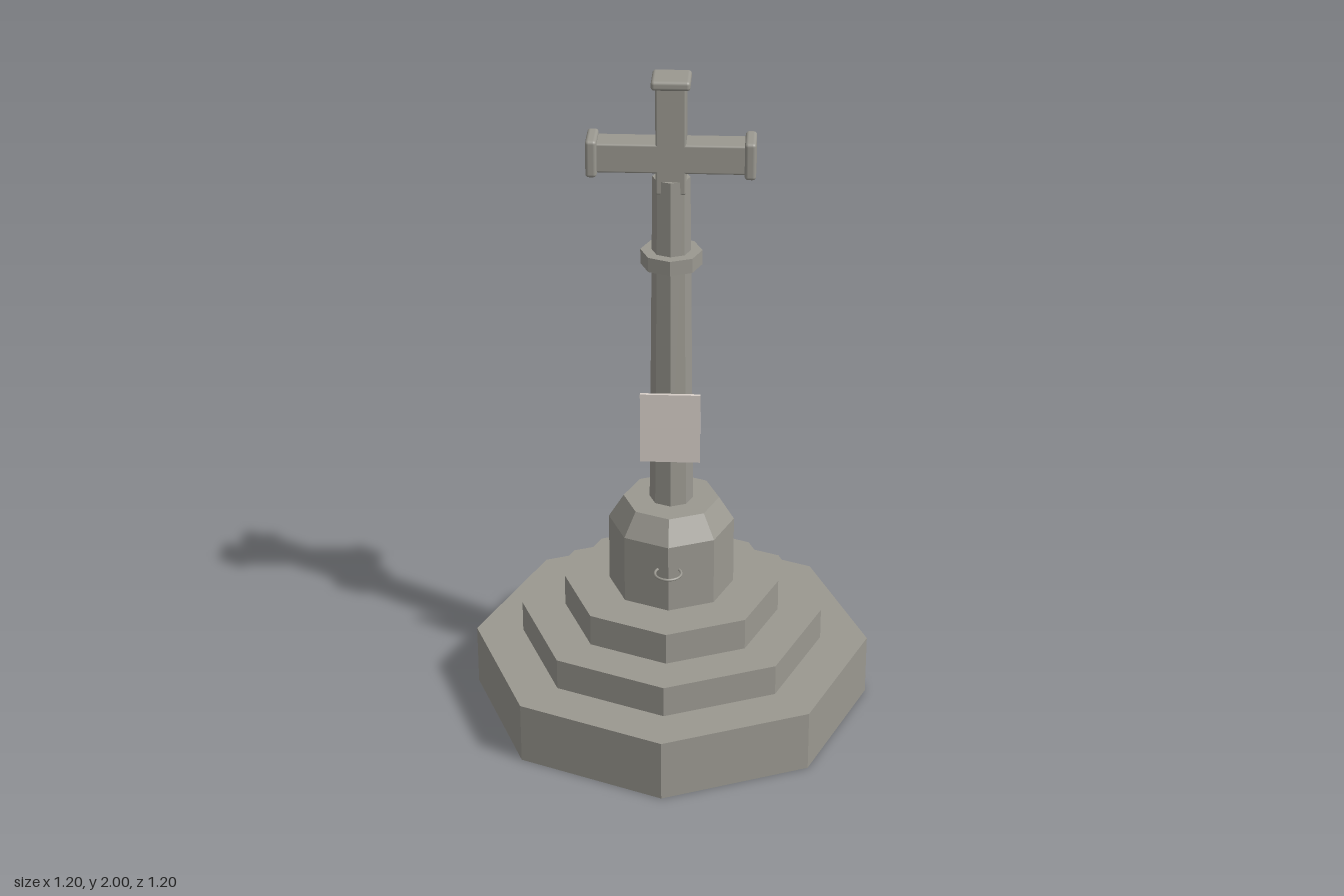
import * as THREE from 'three';
import { RoundedBoxGeometry } from 'three/addons/geometries/RoundedBoxGeometry.js';

export function createModel() {
  const root = new THREE.Group();
  const stone = new THREE.MeshStandardMaterial({ color: 0x9a9890, flatShading: true });
  const smoothStone = new THREE.MeshStandardMaterial({ color: 0x9a9890 });
  const pale = new THREE.MeshStandardMaterial({ color: 0xd6cec8 });

  function add(name, geometry, material, x, y, z, parent = root) {
    const mesh = new THREE.Mesh(geometry, material);
    mesh.name = name;
    mesh.position.set(x, y, z);
    parent.add(mesh);
    return mesh;
  }

  // Octagonal block with corners on the x and z axes
  function octagon(name, y0, y1, rBottom, rTop = rBottom) {
    const geometry = new THREE.CylinderGeometry(rTop, rBottom, y1 - y0, 8);
    return add(name, geometry, stone, 0, (y0 + y1) / 2, 0);
  }

  // Stepped base
  octagon('lowerStep', 0, 0.19, 0.6);
  octagon('middleStep', 0.19, 0.287, 0.457);
  octagon('upperStep', 0.287, 0.386, 0.325);

  // Pedestal with chamfered shoulder
  octagon('pedestal', 0.386, 0.6, 0.188);
  octagon('pedestalShoulder', 0.6, 0.672, 0.188, 0.143);

  // Tapered shaft and its collar
  octagon('shaft', 0.672, 1.7, 0.065, 0.054);
  octagon('collar', 1.432, 1.476, 0.089);

  // Cross with rounded end caps
  const cross = new THREE.Group();
  cross.name = 'cross';
  root.add(cross);
  const block = (name, w, h, d, r, x, y) =>
    add(name, new RoundedBoxGeometry(w, h, d, 3, r), smoothStone, x, y, 0, cross);
  const armY = 1.767;
  block('upright', 0.086, 0.33, 0.086, 0.006, 0, 1.825);
  block('crossArm', 0.44, 0.086, 0.086, 0.006, 0, armY);
  block('topCap', 0.11, 0.028, 0.11, 0.01, 0, 1.986);
  for (const side of [-1, 1]) {
    block(side > 0 ? 'leftCap' : 'rightCap', 0.032, 0.11, 0.11, 0.01, side * 0.223, armY);
  }

  // Plaque held just in front of the shaft
  add('plaque', new THREE.BoxGeometry(0.176, 0.22, 0.01), pale, 0, 0.94, 0.075);

  // Thin ring on the front of the pedestal
  const ring = add('ring', new THREE.TorusGeometry(0.039, 0.004, 8, 32), smoothStone, 0, 0.52, 0.197);
  ring.rotation.x = Math.PI / 2;

  return root;
}
